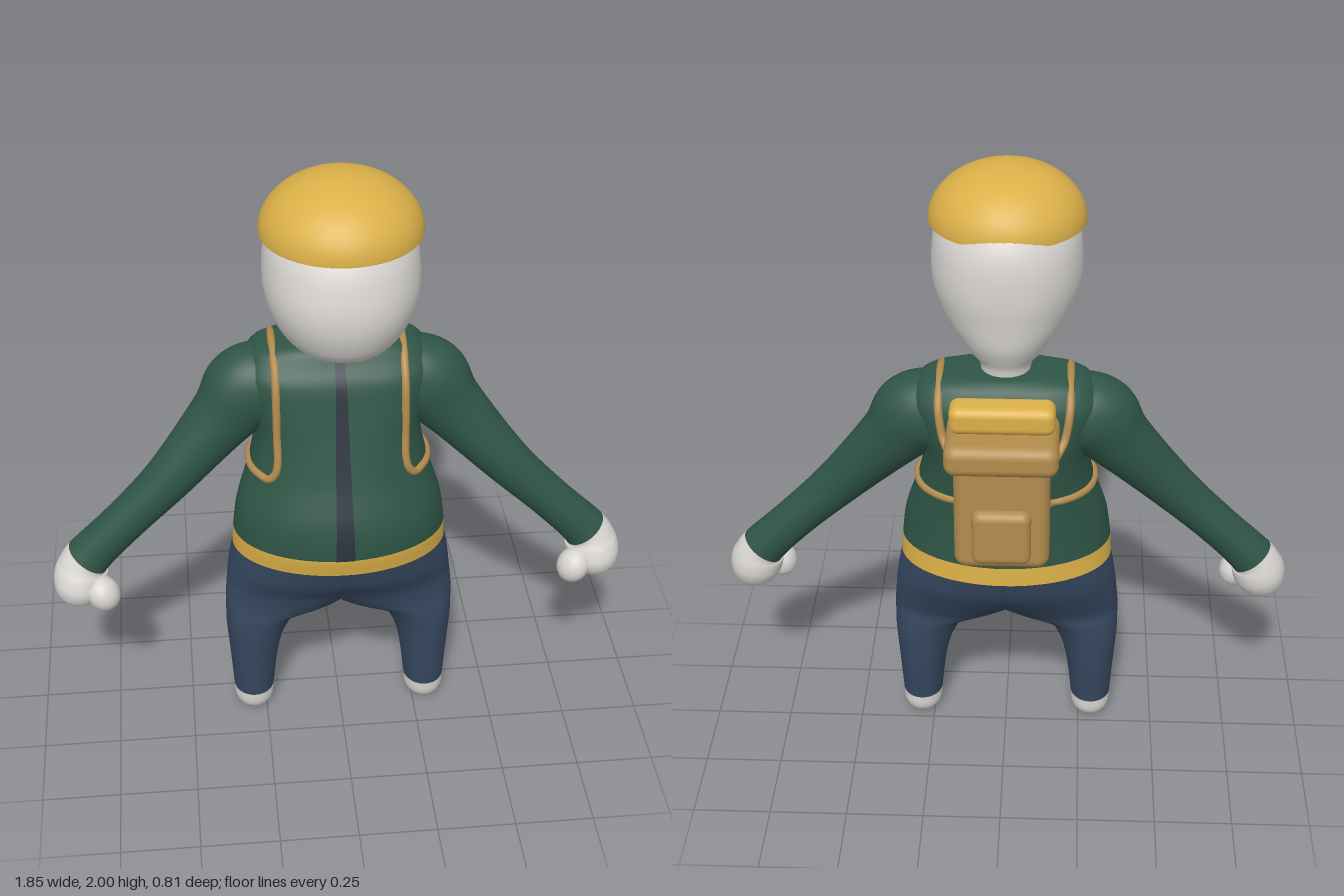
import * as THREE from 'three';
import { RoundedBoxGeometry } from 'three/addons/geometries/RoundedBoxGeometry.js';

const flat = (name, color) => Object.assign(new THREE.MeshStandardMaterial({ color }), { name });
const SIDES = 64;

// Smooth interpolation of rows [t, a, b, ...] with ascending t
function spline(rows) {
  const slope = (i, c) => {
    const a = rows[Math.max(i - 1, 0)], b = rows[Math.min(i + 1, rows.length - 1)];
    return (b[c] - a[c]) / (b[0] - a[0]);
  };
  return (t) => {
    let i = 0;
    while (i < rows.length - 2 && t > rows[i + 1][0]) i++;
    const a = rows[i], b = rows[i + 1], h = b[0] - a[0], s = (t - a[0]) / h, s2 = s * s, s3 = s2 * s;
    return a.slice(1).map((v, k) => (2 * s3 - 3 * s2 + 1) * v + (s3 - 2 * s2 + s) * h * slope(i, k + 1)
      + (3 * s2 - 2 * s3) * b[k + 1] + (s3 - s2) * h * slope(i + 1, k + 1));
  };
}

// Skin over rings; each band [t0, t1, steps] becomes one material group
function loft(point, bands, capStart, capEnd) {
  const ts = [bands[0][0]], pos = [], index = [], geo = new THREE.BufferGeometry();
  for (const [a, b, n] of bands) for (let i = 1; i <= n; i++) ts.push(a + (b - a) * i / n);
  for (const t of ts) for (let j = 0; j < SIDES; j++) pos.push(...point(t, j / SIDES * Math.PI * 2));
  const tri = (...f) => { if (f.some((v) => Math.abs(pos[v * 3]) > 1e-5)) index.push(...f); };
  const cap = (ring, flip) => {
    const c = pos.length / 3, mid = [0, 0, 0];
    for (let j = 0; j < SIDES; j++) for (let k = 0; k < 3; k++) mid[k] += pos[(ring * SIDES + j) * 3 + k] / SIDES;
    pos.push(...mid);
    for (let j = 0; j < SIDES; j++) {
      const a = ring * SIDES + j, b = ring * SIDES + (j + 1) % SIDES;
      flip ? tri(c, b, a) : tri(c, a, b);
    }
  };
  let ring = 0;
  bands.forEach(([, , n], m) => {
    const start = index.length;
    if (m === 0 && capStart) cap(0, false);
    for (const end = ring + n; ring < end; ring++) for (let j = 0; j < SIDES; j++) {
      const a = ring * SIDES + j, b = ring * SIDES + (j + 1) % SIDES;
      tri(a, a + SIDES, b);
      tri(b, a + SIDES, b + SIDES);
    }
    if (m === bands.length - 1 && capEnd) cap(ring, true);
    geo.addGroup(start, index.length - start, m);
  });
  geo.setAttribute('position', new THREE.Float32BufferAttribute(pos, 3));
  geo.setIndex(index);
  geo.computeVertexNormals();
  return geo;
}

// Copy of a geometry on the other side of x = 0
function mirrored(geo) {
  const g = geo.clone().scale(-1, 1, 1), ix = g.index;
  for (let i = 0; i < ix.count; i += 3) {
    const b = ix.getX(i + 1);
    ix.setX(i + 1, ix.getX(i + 2));
    ix.setX(i + 2, b);
  }
  return g;
}

const pow = (v, p) => Math.sign(v) * Math.abs(v) ** p;

// Upright section from rows [y, half width, front z, back z, roundness]
const oval = (row) => (y, a) => {
  const [w, f, b, p] = row(y);
  return [w * pow(Math.cos(a), p), y, (f + b) / 2 + (f - b) / 2 * pow(Math.sin(a), p)];
};

const torsoRow = spline([
  [0.68, 0.345, 0.29, -0.16, 1], [0.75, 0.34, 0.302, -0.157, 1], [0.85, 0.325, 0.293, -0.152, 0.97],
  [0.98, 0.283, 0.245, -0.155, 0.9], [1.1, 0.26, 0.208, -0.162, 0.78], [1.2, 0.27, 0.18, -0.163, 0.65],
  [1.3, 0.29, 0.152, -0.155, 0.6], [1.35, 0.275, 0.118, -0.135, 0.65], [1.38, 0.245, 0.1, -0.115, 0.7],
  [1.395, 0.19, 0.085, -0.09, 0.8]]);

const headRow = spline([
  [1.38, 0.075, 0.08, -0.07, 1], [1.42, 0.085, 0.12, -0.075, 1], [1.45, 0.125, 0.23, -0.09, 1],
  [1.5, 0.167, 0.34, -0.11, 0.97], [1.57, 0.207, 0.388, -0.12, 0.95], [1.66, 0.23, 0.406, -0.13, 0.93],
  [1.76, 0.228, 0.39, -0.128, 0.95], [1.83, 0.213, 0.358, -0.11, 1], [1.9, 0.17, 0.29, -0.06, 1],
  [1.95, 0.09, 0.22, 0.02, 1]]);

// [y, centre x, inner radius, outer radius, front z, back z]
const legRow = spline([
  [0, 0.291, 0.03, 0.03, 0.11, 0.05], [0.015, 0.291, 0.052, 0.052, 0.138, 0.02], [0.04, 0.291, 0.064, 0.064, 0.152, 0.006],
  [0.08, 0.29, 0.066, 0.067, 0.156, 0.003], [0.25, 0.285, 0.083, 0.083, 0.168, -0.014],
  [0.35, 0.272, 0.102, 0.103, 0.175, -0.02], [0.41, 0.235, 0.117, 0.14, 0.18, -0.025],
  [0.445, 0.18, 0.178, 0.195, 0.185, -0.03], [0.48, 0.13, 0.19, 0.243, 0.195, -0.05],
  [0.53, 0.08, 0.22, 0.288, 0.215, -0.085], [0.6, 0.03, 0.2, 0.33, 0.26, -0.132], [0.68, 0, 0.01, 0.345, 0.29, -0.16]]);

// [step, x, y, z, radius, depth radius]
const armRow = spline([
  [0, 0.18, 1.25, 0, 0.12, 0.125], [1, 0.28, 1.22, 0.005, 0.138, 0.12], [2, 0.365, 1.125, 0.02, 0.105, 0.1],
  [3, 0.54, 0.93, 0.058, 0.078, 0.075], [4, 0.69, 0.78, 0.073, 0.069, 0.068], [5, 0.812, 0.655, 0.08, 0.074, 0.072],
  [5.5, 0.833, 0.61, 0.088, 0.085, 0.087], [6, 0.845, 0.565, 0.096, 0.083, 0.09],
  [6.5, 0.852, 0.52, 0.1, 0.06, 0.065], [6.8, 0.855, 0.497, 0.1, 0.02, 0.025]]);

function armPoint(t, a) {
  const [x, y, z, r, d] = armRow(t);
  const p = armRow(Math.max(t - 0.05, 0)), q = armRow(Math.min(t + 0.05, 6.8));
  const tx = q[0] - p[0], ty = q[1] - p[1], len = Math.hypot(tx, ty);
  return [x + ty / len * r * Math.cos(a), y - tx / len * r * Math.cos(a), z + d * Math.sin(a)];
}

function legPoint(y, a) {
  const [cx, rin, rout, f, b] = legRow(y), c = Math.cos(a);
  return [Math.max(0, cx + c * (c > 0 ? rout : rin)), y, (f + b) / 2 + (f - b) / 2 * Math.sin(a)];
}

// Depth of the chest surface at x, y
function chestZ(x, y) {
  const [w, f, b, p] = torsoRow(y);
  return (f + b) / 2 + (f - b) / 2 * Math.max(0, 1 - Math.abs(x / w) ** (2 / p)) ** (p / 2);
}

export function createModel() {
  const skin = flat('skin', 0xd8d5d1), green = flat('jacket green', 0x2f5546), navy = flat('trouser navy', 0x36475f);
  const gold = flat('gold', 0xdbb048), tan = flat('pack tan', 0xb38c4e), dark = flat('zip dark', 0x2c343e);
  const model = new THREE.Group();
  const add = (name, geo, mat, parent = model) => {
    const mesh = new THREE.Mesh(geo, mat);
    mesh.name = name;
    parent.add(mesh);
    return mesh;
  };
  const pair = (name, geo, mat) => {
    add('left' + name, geo, mat);
    add('right' + name, mirrored(geo), mat);
  };

  // Jacket with waistband, head
  const torso = oval(torsoRow);
  add('jacketAndBelt', loft(torso, [[0.68, 0.745, 6], [0.745, 1.395, 50]], false, true), [gold, green]);
  add('head', loft(oval(headRow), [[1.38, 1.95, 44]], false, true), skin);

  // Cap: flattened dome closed underneath
  const cap = new THREE.Group();
  cap.name = 'cap';
  cap.position.set(0, 1.83, 0.14);
  model.add(cap);
  add('capDome', new THREE.SphereGeometry(0.24, 48, 20, 0, Math.PI * 2, 0, Math.PI / 2).scale(1, 0.17 / 0.24, 1), gold, cap);
  add('capUnderside', new THREE.CircleGeometry(0.24, 48).rotateX(Math.PI / 2), gold, cap);

  // Trouser halves meet at x = 0; level their normals there
  const leg = loft(legPoint, [[0, 0.08, 10], [0.08, 0.68, 70]], true, false);
  const lp = leg.attributes.position, ln = leg.attributes.normal, n = new THREE.Vector3();
  for (let i = 0; i < lp.count; i++) if (lp.getX(i) < 1e-5) {
    n.fromBufferAttribute(ln, i).setX(0).normalize();
    ln.setXYZ(i, n.x, n.y, n.z);
  }
  pair('LegAndFoot', leg, [skin, navy]);

  // Sleeves with hands, thumbs
  pair('ArmAndHand', loft(armPoint, [[0, 5, 50], [5, 6.8, 22]], true, true), [green, skin]);
  const thumb = new THREE.SphereGeometry(0.055, 24, 16).scale(0.95, 1.1, 1).rotateZ(-0.4).translate(0.768, 0.555, 0.148);
  pair('Thumb', thumb, skin);

  // Zip strip laid on the chest, wider at the hem
  const zip = new THREE.PlaneGeometry(1, 1, 4, 40), zp = zip.attributes.position;
  for (let i = 0; i < zp.count; i++) {
    const v = zp.getY(i) + 0.5, y = 0.747 + v * 0.643, x = zp.getX(i) * (0.06 - 0.03 * v);
    zp.setXYZ(i, x, y, chestZ(x, y) + 0.004);
  }
  zip.computeVertexNormals();
  add('zip', zip, dark);

  // Straps: over the shoulder, down the chest, round the ribs to the pack
  const path = [[0.16, 1.19, -0.2], [0.185, 1.23, -0.165], [0.2, 1.32, -0.138], [0.2, 1.37, -0.085], [0.2, 1.387, -0.02], [0.2, 1.38, 0.05]];
  for (const y of [1.34, 1.28, 1.2, 1.12, 1.05]) path.push([0.198, y, chestZ(0.198, y)]);
  path.push([0.207, 1.01, chestZ(0.207, 1.01)]);
  for (let d = 38; d >= -62; d -= 10) path.push(torso(0.985, d * Math.PI / 180));
  path.push([0.12, 0.985, -0.2]);
  const curve = new THREE.CatmullRomCurve3(path.map((p) => new THREE.Vector3(...p)), false, 'centripetal');
  pair('Strap', new THREE.TubeGeometry(curve, 120, 0.013, 8), tan);

  // Backpack
  const pack = new THREE.Group();
  pack.name = 'backpack';
  model.add(pack);
  const box = (name, w, h, d, r, y, z, mat) =>
    add(name, new RoundedBoxGeometry(w, h, d, 5, r), mat, pack).position.set(0, y, z);
  box('packBody', 0.29, 0.42, 0.185, 0.04, 1.09, -0.268, tan);
  box('packLid', 0.34, 0.1, 0.245, 0.035, 1.283, -0.28, tan);
  box('packPocket', 0.18, 0.185, 0.06, 0.028, 1.01, -0.362, tan);
  box('bedroll', 0.315, 0.088, 0.1, 0.028, 1.377, -0.274, gold);
  return model;
}
